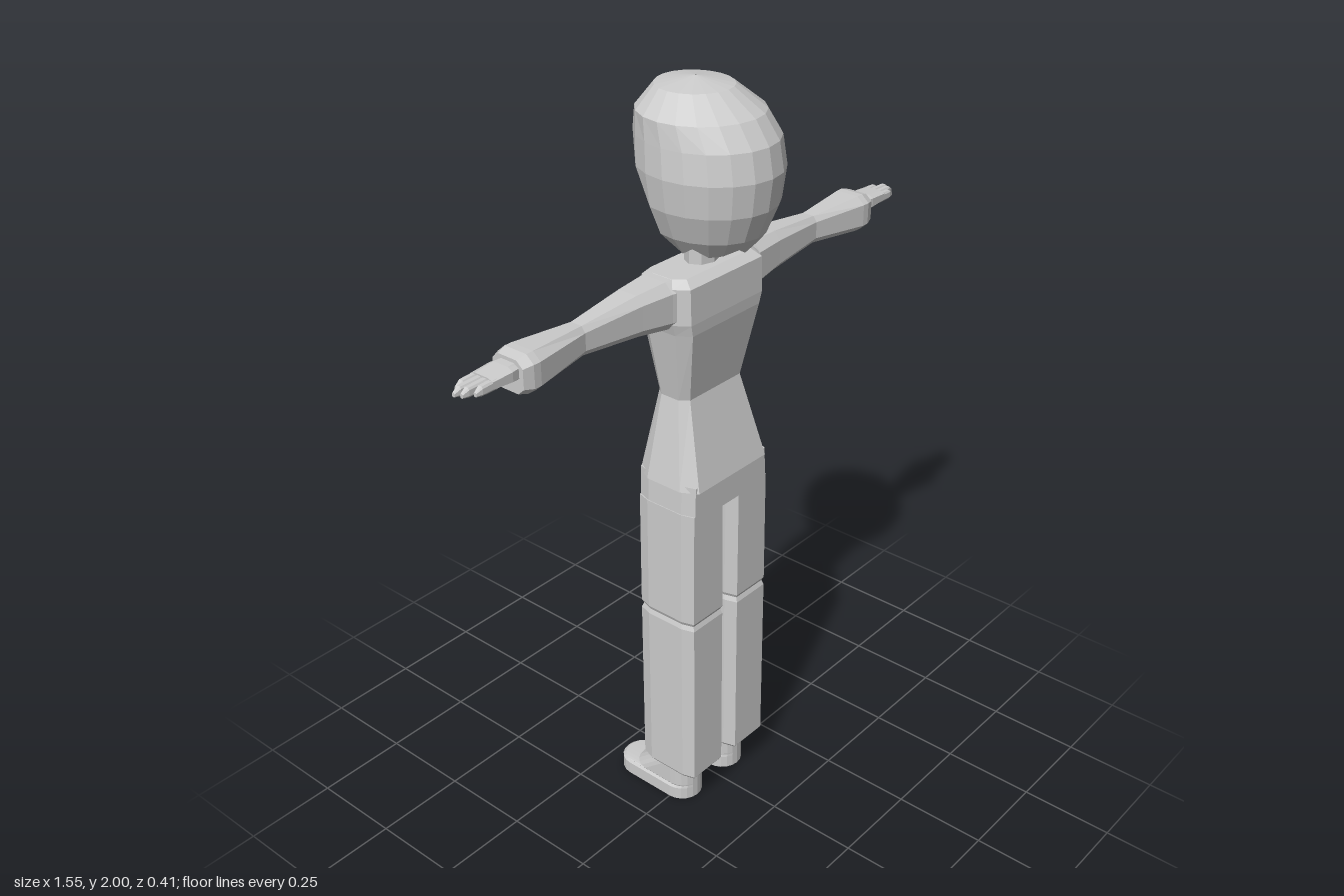
import * as THREE from 'three';

const CX = -0.012; // body centre line
const grey = new THREE.MeshStandardMaterial({ color: 0xcccccc, flatShading: true, side: THREE.DoubleSide });
grey.name = 'plain grey';

// Skin a stack of equal-length rings (bottom to top), capped at both ends
function loft(rings, capped = true) {
  const pos = [];
  const tri = (...p) => p.forEach(v => pos.push(v.x, v.y, v.z));
  const n = rings[0].length;
  for (let i = 0; i < rings.length - 1; i++) {
    for (let j = 0; j < n; j++) {
      const k = (j + 1) % n, a = rings[i], b = rings[i + 1];
      tri(a[j], b[j], a[k]);
      tri(a[k], b[j], b[k]);
    }
  }
  if (capped) {
    const lo = rings[0], hi = rings[rings.length - 1];
    for (let j = 1; j < n - 1; j++) {
      tri(lo[0], lo[j], lo[j + 1]);
      tri(hi[0], hi[j + 1], hi[j]);
    }
  }
  const g = new THREE.BufferGeometry();
  g.setAttribute('position', new THREE.Float32BufferAttribute(pos, 3));
  g.computeVertexNormals();
  return g;
}

// Rectangle with cut corners
function section(y, hw, hd, cx = 0, cz = 0, cutX = 0.2, cutZ = 0.4) {
  const a = hw * (1 - cutX), b = hd * (1 - cutZ);
  return [[hw, -b], [hw, b], [a, hd], [-a, hd], [-hw, b], [-hw, -b], [-a, -hd], [a, -hd]]
    .map(([x, z]) => new THREE.Vector3(x + cx, y, z + cz));
}

// Oval between two z limits
function oval(y, hx, zMin, zMax, n = 14) {
  return Array.from({ length: n }, (_, i) => {
    const t = i / n * Math.PI * 2;
    return new THREE.Vector3(Math.cos(t) * hx, y, (zMin + zMax) / 2 + Math.sin(t) * (zMax - zMin) / 2);
  });
}

// Long rounded shoe outline with half circles at toe and heel
function stadium(y, r, zMin, zMax) {
  return Array.from({ length: 22 }, (_, i) => {
    const heel = i < 11, t = (heel ? i : i - 1) / 10 * Math.PI;
    return new THREE.Vector3(Math.cos(t) * r, y, (heel ? zMax - r : zMin + r) + Math.sin(t) * r);
  });
}

function add(parent, name, geometry) {
  const m = new THREE.Mesh(geometry, grey);
  m.name = name;
  parent.add(m);
  return m;
}

// Linear lookup in a table of [y, value, value]
function lookup(table, y, col) {
  for (let i = 0; i < table.length - 1; i++) {
    const a = table[i], b = table[i + 1];
    if (y <= a[0] && y >= b[0]) return a[col] + (b[col] - a[col]) * (a[0] - y) / (a[0] - b[0]);
  }
  return table[table.length - 1][col];
}

// Faceted hair: columns end at different heights to leave the face open
function hairGeometry() {
  // height, relative radius, centre z
  const profile = [[2, 0.01, -0.02], [1.985, 0.52, -0.02], [1.935, 0.84, 0.0], [1.88, 0.97, 0.015],
    [1.81, 1, 0.022], [1.73, 0.94, 0.022], [1.66, 0.78, 0.022], [1.615, 0.58, 0.022]];
  const hem = [1.87, 1.85, 1.88, 1.81, 1.66, 1.615, 1.64, 1.615, 1.62, 1.635, 1.615];
  const rings = profile.map(([rowY]) => Array.from({ length: 20 }, (_, i) => {
    const a = i * Math.PI / 10;
    const y = Math.max(rowY, hem[Math.min(i, 20 - i)]);
    const r = lookup(profile, y, 1), z = lookup(profile, y, 2);
    const x = Math.sin(a) * 0.164 * r;
    const sweep = x < 0 && y > 1.88 && y < 1.99 ? 1.12 : 1;
    return new THREE.Vector3(x * sweep, y, z - Math.cos(a) * 0.182 * r);
  }));
  return loft(rings, false);
}

function buildHead(body) {
  const head = new THREE.Group();
  head.name = 'head';
  body.add(head);
  add(head, 'skull', loft([
    oval(1.635, 0.045, -0.11, 0.03), oval(1.655, 0.075, -0.122, 0.07), oval(1.70, 0.108, -0.128, 0.12),
    oval(1.77, 0.128, -0.13, 0.15), oval(1.85, 0.132, -0.132, 0.16), oval(1.91, 0.115, -0.12, 0.13),
    oval(1.95, 0.06, -0.07, 0.07)]));
  add(head, 'hair', hairGeometry());
  // Small wedge nose
  add(head, 'nose', loft([
    section(1.695, 0.014, 0.016, 0, -0.135), section(1.705, 0.013, 0.016, 0, -0.14),
    section(1.76, 0.005, 0.006, 0, -0.127)]));
  add(head, 'neck', loft([oval(1.54, 0.047, -0.04, 0.036, 8), oval(1.66, 0.047, -0.04, 0.036, 8)]));
}

function buildTorso(body) {
  // height, half width, half depth, centre z
  const rows = [[1.015, 0.153, 0.096, 0.003], [1.24, 0.112, 0.049, -0.008], [1.43, 0.146, 0.077, -0.002],
    [1.46, 0.155, 0.077, 0], [1.55, 0.155, 0.075, 0], [1.567, 0.14, 0.055, -0.003]];
  add(body, 'shirt', loft(rows.map(([y, w, d, z]) => section(y, w, d, 0, z, 0.16, 0.45))));
  add(body, 'hips', loft([section(0.935, 0.15, 0.09, 0, 0.003, 0.08), section(1.03, 0.146, 0.09, 0, 0.003, 0.08)]));
}

function buildArm(body, s) {
  const arm = new THREE.Group();
  arm.name = s > 0 ? 'leftArm' : 'rightArm';
  arm.rotation.z = -s * Math.PI / 2;
  body.add(arm);
  // distance out, half height, half depth, height, centre z
  const ring = ([d, h, w, y, z], cut = 0.4) => section(d, h, w, -s * y, z, cut, cut);
  const sleeve = [[0.1, 0.062, 0.065, 1.505, -0.004], [0.16, 0.06, 0.057, 1.506, -0.01],
    [0.25, 0.051, 0.046, 1.511, -0.009], [0.42, 0.036, 0.027, 1.511, -0.006],
    [0.585, 0.047, 0.054, 1.508, -0.004], [0.605, 0.047, 0.054, 1.508, -0.004], [0.63, 0.04, 0.046, 1.508, -0.004]];
  add(arm, 'sleeve', loft(sleeve.map(r => ring(r))));
  const palm = [[0.6, 0.022, 0.028, 1.518, -0.003], [0.65, 0.019, 0.036, 1.52, -0.003], [0.705, 0.014, 0.034, 1.52, -0.003]];
  add(arm, 'palm', loft(palm.map(r => ring(r))));
  // Four fingers side by side
  [0.755, 0.777, 0.77, 0.748].forEach((tip, i) => {
    const z = -0.028 + i * 0.0168;
    add(arm, 'finger', loft([ring([0.69, 0.012, 0.009, 1.519, z]), ring([tip - 0.015, 0.011, 0.008, 1.518, z]),
      ring([tip, 0.005, 0.004, 1.514, z])]));
  });
  // Thumb sticking forward
  add(arm, 'thumb', loft([ring([0.645, 0.012, 0.014, 1.508, -0.03]), ring([0.665, 0.01, 0.011, 1.502, -0.05]),
    ring([0.678, 0.008, 0.008, 1.497, -0.066]), ring([0.69, 0.004, 0.004, 1.494, -0.075])]));
}

function buildLeg(body, s) {
  const leg = new THREE.Group();
  leg.name = s > 0 ? 'leftLeg' : 'rightLeg';
  leg.position.x = s * 0.0865;
  body.add(leg);
  // Trouser leg with a knee groove
  const rows = [[0.108, 0.06, 0.083], [0.118, 0.067, 0.09], [0.605, 0.067, 0.09], [0.618, 0.063, 0.085],
    [0.628, 0.067, 0.09], [0.95, 0.065, 0.09]];
  add(leg, 'trouserLeg', loft(rows.map(([y, w, d]) => section(y, w, d, 0, 0.003, 0.16, 0.38))));
  // Shoe: flat sole with a sloping instep
  add(leg, 'shoe', loft([stadium(0, 0.055, -0.204, 0.055), stadium(0.036, 0.055, -0.204, 0.055),
    stadium(0.043, 0.05, -0.195, 0.055), stadium(0.047, 0.053, -0.145, 0.055),
    stadium(0.11, 0.054, -0.07, 0.055), stadium(0.14, 0.054, -0.065, 0.055)]));
}

export function createModel() {
  const model = new THREE.Group();
  model.name = 'figure';
  const body = new THREE.Group();
  body.name = 'body';
  body.position.x = CX;
  model.add(body);
  buildHead(body);
  buildTorso(body);
  for (const s of [1, -1]) {
    buildArm(body, s);
    buildLeg(body, s);
  }
  return model;
}
